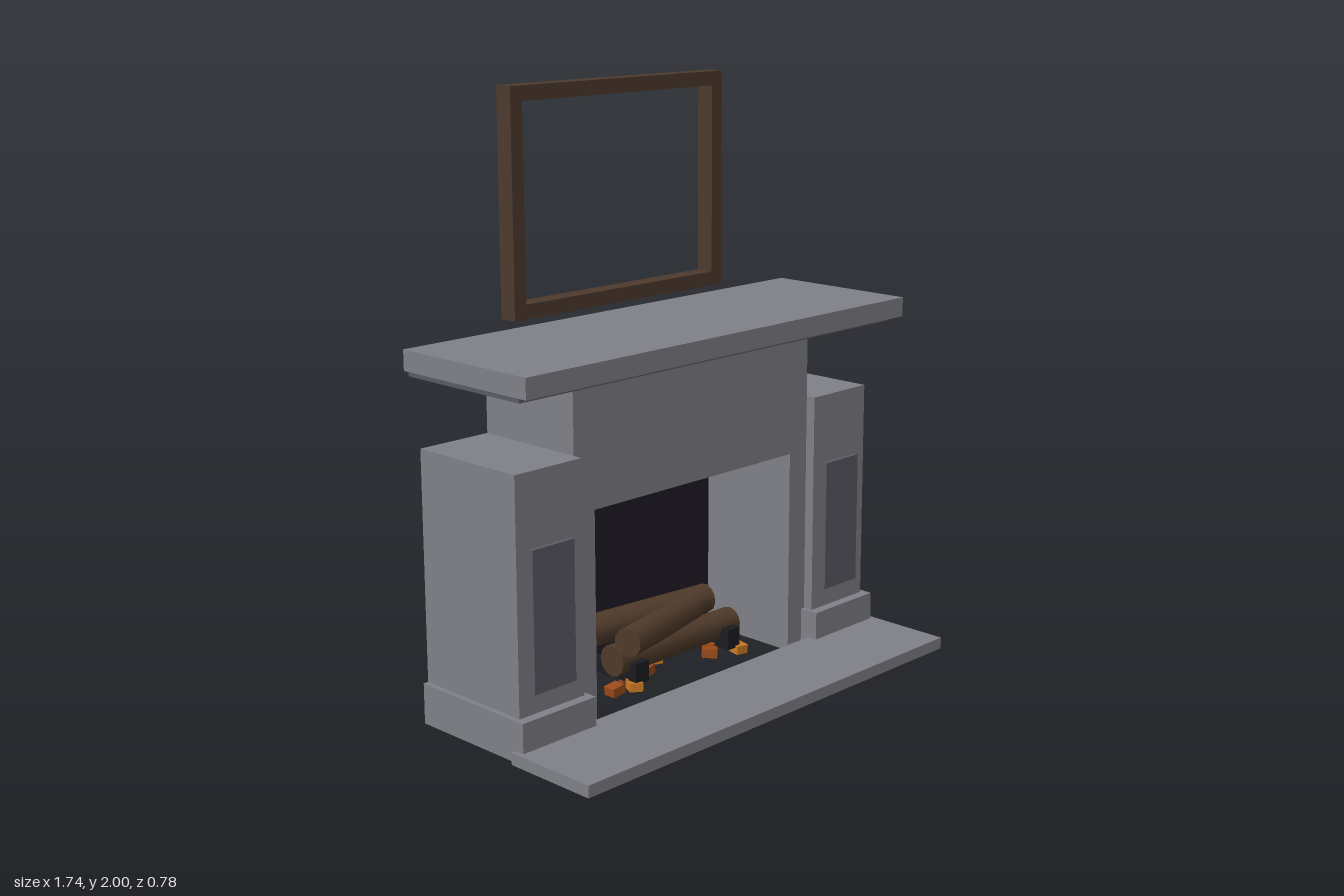
import * as THREE from 'three';

const mat = (color) => new THREE.MeshStandardMaterial({ color });
const BACK = -0.39;

export function createModel() {
  const root = new THREE.Group();
  const stone = mat(0x7f7f88), darkStone = mat(0x5a5a64), soot = mat(0x211a26);
  const wood = mat(0x4d3a2d), bark = mat(0x4f3a2a), iron = mat(0x1c1b20);
  const embers = [mat(0x9c4a1a), mat(0xc97a22)];

  const add = (name, geometry, material) => {
    const mesh = new THREE.Mesh(geometry, material);
    mesh.name = name;
    root.add(mesh);
    return mesh;
  };

  // box given by its min and max on each axis
  const box = (name, material, [x0, x1], [y0, y1], [z0, z1]) => {
    const mesh = add(name, new THREE.BoxGeometry(x1 - x0, y1 - y0, z1 - z0), material);
    mesh.position.set((x0 + x1) / 2, (y0 + y1) / 2, (z0 + z1) / 2);
    return mesh;
  };

  const rectPoints = (w, y0, y1) => [[-w, y0], [w, y0], [w, y1], [-w, y1]].map(([x, y]) => new THREE.Vector2(x, y));
  const extrude = (name, shape, z0, z1, material) => {
    const mesh = add(name, new THREE.ExtrudeGeometry(shape, { depth: z1 - z0, bevelEnabled: false }), material);
    mesh.position.z = z0;
    return mesh;
  };

  // hearth slab in front of the open firebox floor
  box('hearth', stone, [-0.85, 0.85], [0, 0.04], [0.05, 0.39]);

  // surround: an arch-like wall around the opening
  const wall = [[-0.545, 0], [-0.46, 0], [-0.46, 0.715], [0.46, 0.715], [0.46, 0], [0.545, 0], [0.545, 1.14], [-0.545, 1.14]];
  extrude('surround', new THREE.Shape(wall.map(([x, y]) => new THREE.Vector2(x, y))), BACK, 0.015, stone);
  box('fireboxBack', soot, [-0.46, 0.46], [0, 0.715], [BACK, BACK + 0.02]);

  // side pillars with plinth and raised panel
  for (const [side, s] of [['left', 1], ['right', -1]]) {
    const span = (a, b) => (s > 0 ? [a, b] : [-b, -a]);
    box(side + 'Pillar', stone, span(0.545, 0.815), [0, 0.905], [BACK, 0.05]);
    box(side + 'Plinth', stone, span(0.53, 0.833), [0.001, 0.137], [BACK, 0.085]);
    box(side + 'Panel', darkStone, span(0.595, 0.765), [0.205, 0.665], [0.04, 0.067]);
  }

  // mantel
  box('mantelMoulding', darkStone, [-0.85, 0.85], [1.14, 1.16], [BACK, 0.12]);
  box('mantelShelf', stone, [-0.868, 0.868], [1.16, 1.227], [BACK, 0.17]);

  // empty picture frame above the mantel
  const frame = new THREE.Shape(rectPoints(0.475, 1.265, 2));
  frame.holes.push(new THREE.Path(rectPoints(0.427, 1.313, 1.952)));
  extrude('pictureFrame', frame, BACK, -0.325, wood);

  // logs: slightly tapered, running between two points
  const log = (name, from, to, r0, r1) => {
    const a = new THREE.Vector3(...from), b = new THREE.Vector3(...to);
    const dir = b.clone().sub(a);
    const mesh = add(name, new THREE.CylinderGeometry(r1, r0, dir.length(), 12), bark);
    mesh.position.copy(a).add(b).multiplyScalar(0.5);
    mesh.quaternion.setFromUnitVectors(new THREE.Vector3(0, 1, 0), dir.normalize());
  };
  log('frontLog', [-0.283, 0.137, -0.1], [0.283, 0.129, -0.1], 0.054, 0.049);
  log('backLog', [-0.24, 0.18, -0.27], [0.28, 0.188, -0.21], 0.056, 0.05);
  log('topLog', [-0.26, 0.206, -0.05], [0.135, 0.21, -0.14], 0.05, 0.05);

  // andirons: upright block in front, bar running back
  for (const x of [-0.222, 0.218]) {
    box('andironPost', iron, [x - 0.03, x + 0.03], [0.065, 0.137], [-0.055, -0.02]);
    box('andironBar', iron, [x - 0.022, x + 0.022], [0.06, 0.1], [-0.28, -0.055]);
  }

  // embers: small tilted blocks
  const spots = [
    [-0.31, -0.06], [-0.24, -0.04], [-0.2, -0.11], [-0.12, -0.11], [-0.02, -0.17],
    [0.15, -0.07], [0.2, -0.11], [0.25, -0.03], [0.26, -0.2], [0.18, -0.22],
  ];
  spots.forEach(([x, z], i) => {
    const ember = add('ember', new THREE.BoxGeometry(0.052, 0.03, 0.045), embers[i % 3 === 1 ? 1 : 0]);
    ember.position.set(x, 0.057, z);
    ember.rotation.set(0.12 * Math.sin(i * 2), i * 1.1, 0.12 * Math.cos(i * 3));
  });

  return root;
}
